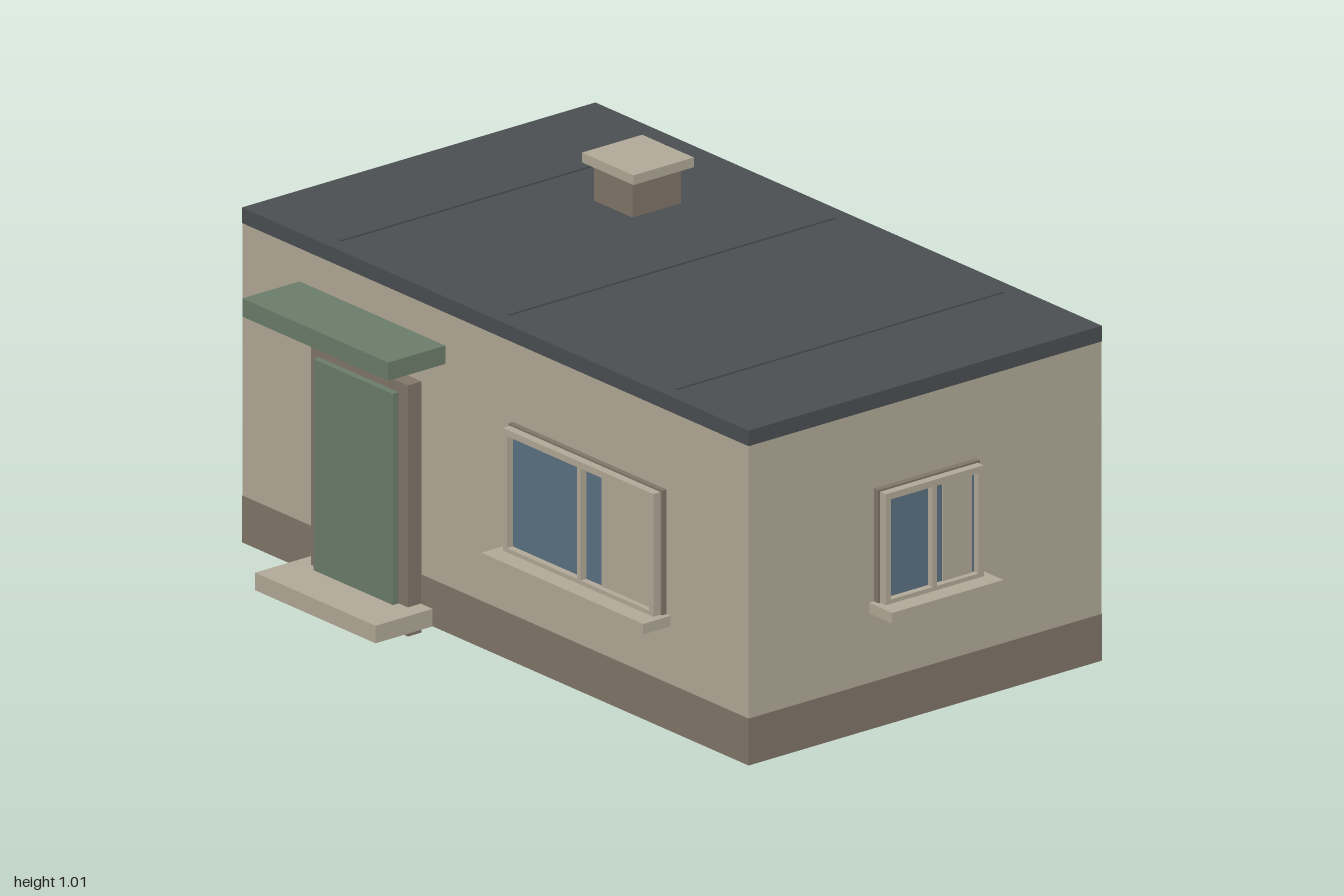
import * as THREE from 'three';

const mat = (name, color) => Object.assign(new THREE.MeshStandardMaterial({ color }), { name });

export function createModel() {
  const house = new THREE.Group();
  house.name = 'house';
  const plaster = mat('plaster', 0xb0a896);
  const brown = mat('brown trim', 0x7f7468);
  const slate = mat('roof slate', 0x4a4e50);
  const green = mat('painted green', 0x6b7c69);
  const glass = mat('window glass', 0x5a7080);

  // Box given by its two extreme corners
  function box(name, material, [x0, y0, z0], [x1, y1, z1], parent = house) {
    const mesh = new THREE.Mesh(new THREE.BoxGeometry(x1 - x0, y1 - y0, z1 - z0), material);
    mesh.position.set((x0 + x1) / 2, (y0 + y1) / 2, (z0 + z1) / 2);
    mesh.name = name;
    parent.add(mesh);
    return mesh;
  }

  // Main body
  box('plinth', brown, [-1, 0.03, -0.635], [0.912, 0.15, 0.46]);
  box('walls', plaster, [-1, 0.15, -0.635], [0.91, 0.85, 0.458]);
  box('roof', slate, [-1, 0.85, -0.635], [0.912, 0.89, 0.46]);
  for (const x of [-0.68, -0.045, 0.59]) {
    box('roofSeam', slate, [x - 0.006, 0.889, -0.59], [x + 0.006, 0.894, 0.42]);
  }

  // Chimney
  box('chimney', brown, [-0.5, 0.89, -0.37], [-0.355, 0.985, -0.22]);
  box('chimneyCap', plaster, [-0.525, 0.985, -0.39], [-0.33, 1.01, -0.203]);

  // Entrance
  box('doorFrame', brown, [-0.69, 0, 0.458], [-0.325, 0.645, 0.5]);
  box('door', green, [-0.66, 0.07, 0.5], [-0.36, 0.617, 0.518]);
  box('doorstep', plaster, [-0.735, 0.03, 0.46], [-0.28, 0.075, 0.637]);
  box('doorCanopy', green, [-0.785, 0.717, 0.458], [-0.235, 0.764, 0.635]);

  // Window facing local +z, centred on x = 0, with the wall face at z = 0
  function windowUnit(name, w, y0, curtain, mullion) {
    const unit = new THREE.Group();
    unit.name = name;
    const h = w / 2, top = 0.645, edge = 0.022;
    box('surround', brown, [-h, y0, -0.002], [h, top, 0.014], unit);
    box('pane', glass, [-h + 0.01, y0, 0.014], [h - 0.01, top - 0.01, 0.018], unit);
    box('curtain', plaster, [curtain[0], y0, 0.018], [curtain[1], top - edge, 0.021], unit);
    // Frame bars
    for (const s of [-1, 1]) {
      const a = s * (h - 0.006), b = s * (h - edge);
      box('frameSide', plaster, [Math.min(a, b), y0, 0.014], [Math.max(a, b), top - 0.005, 0.036], unit);
    }
    box('frameTop', plaster, [-h + edge, top - edge, 0.014], [h - edge, top - 0.005, 0.036], unit);
    box('frameBottom', plaster, [-h + edge, y0, 0.014], [h - edge, y0 + 0.016, 0.036], unit);
    box('mullion', plaster, [mullion - 0.007, y0 + 0.016, 0.014], [mullion + 0.007, top - edge, 0.036], unit);
    box('sill', plaster, [-h - 0.015, y0 - 0.022, -0.002], [h + 0.015, y0 + 0.005, 0.085], unit);
    house.add(unit);
    return unit;
  }
  windowUnit('frontWindow', 0.58, 0.32, [0.07, 0.25], 0.003).position.set(0.31, 0, 0.458);
  const side = windowUnit('sideWindow', 0.315, 0.35, [0.037, 0.128], 0);
  side.position.set(0.912, 0, -0.0875);
  side.rotation.y = Math.PI / 2;

  return house;
}
